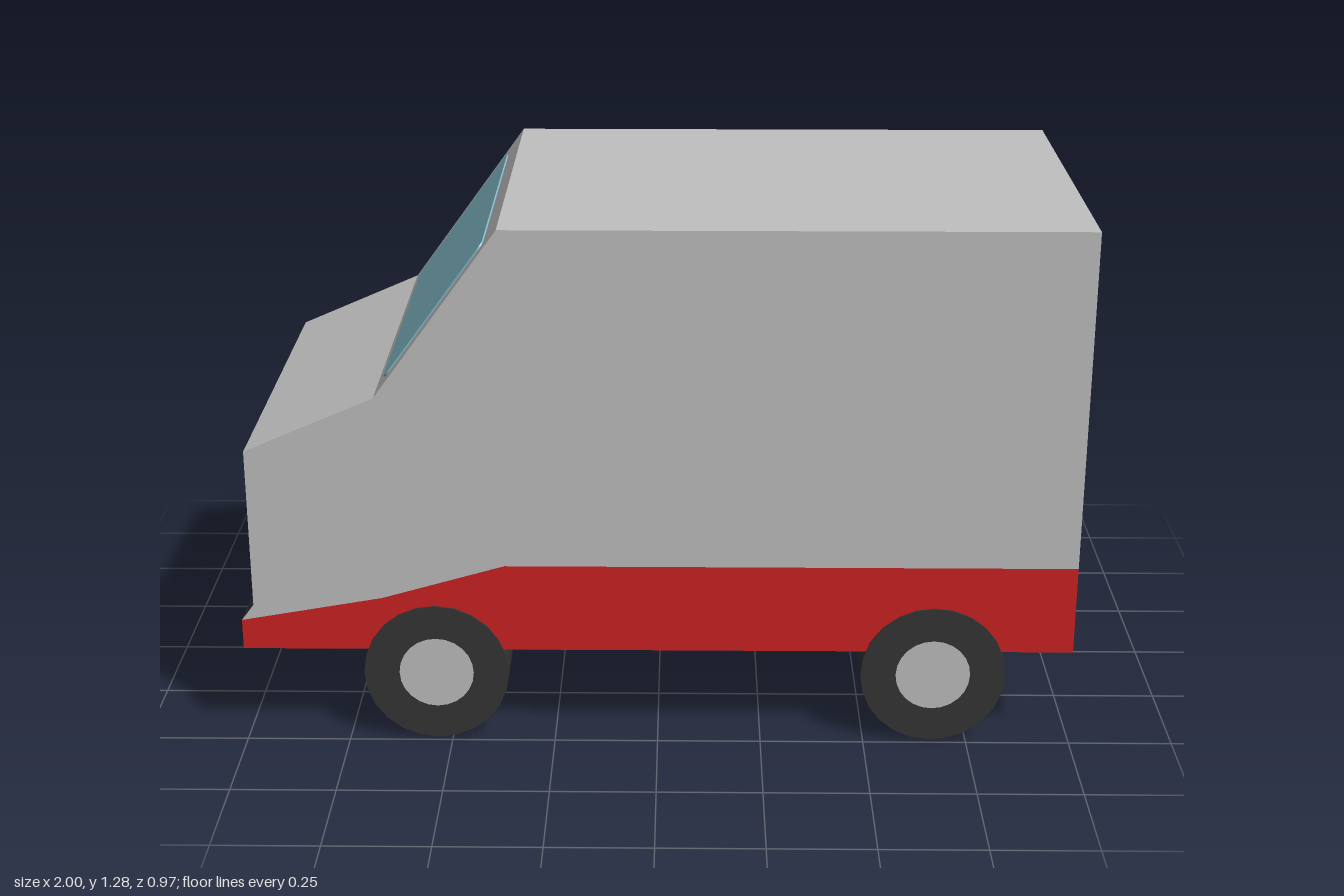
import * as THREE from 'three';

const paint = (name, color) => {
  const m = new THREE.MeshStandardMaterial({ color, side: THREE.DoubleSide });
  m.name = name;
  return m;
};

export function createModel() {
  const grey = paint('body grey', 0xc0c0c0);
  const red = paint('trim red', 0xcf2323);
  const black = paint('rubber black', 0x353535);
  const blue = paint('glass blue', 0x84bccb);
  const yellow = paint('lamp yellow', 0xcdc250);

  const van = new THREE.Group();
  van.name = 'van';
  const W = 0.48; // half width

  const add = (parent, name, geometry, material) => {
    const mesh = new THREE.Mesh(geometry, material);
    mesh.name = name;
    parent.add(mesh);
    return mesh;
  };

  // Sheet spanning the van's width along a side-view path, one flat quad per segment
  const sheet = (path) => {
    const pos = [];
    for (let i = 0; i < path.length - 1; i++) {
      const [p, q] = [path[i], path[i + 1]];
      const a = [...p, W], b = [...q, W], c = [...q, -W], d = [...p, -W];
      pos.push(...a, ...b, ...c, ...a, ...c, ...d);
    }
    const g = new THREE.BufferGeometry();
    g.setAttribute('position', new THREE.Float32BufferAttribute(pos, 3));
    g.computeVertexNormals();
    return g;
  };

  // Side-view outlines
  const shell = [[-0.97, 0.35], [-0.97, 0.745], [-0.66, 0.88], [-0.365, 1.285], [1, 1.285], [1, 0.455]];
  const trimLine = [[1, 0.455], [-0.365, 0.455], [-0.66, 0.37], [-1, 0.31]];
  const sill = [[-1, 0.235], [1, 0.235]];
  const flat = (pts) => new THREE.ShapeGeometry(new THREE.Shape(pts.map(([x, y]) => new THREE.Vector2(x, y))));

  // Open-bottomed body skin
  add(van, 'bodySkin', sheet(shell), grey);
  add(van, 'rearTrim', sheet([[1, 0.455], [1, 0.235]]), red);
  add(van, 'bumper', sheet([[-1, 0.235], [-1, 0.31], [-0.97, 0.35]]), black);

  // Side walls with the red lower band
  for (const s of [1, -1]) {
    const side = new THREE.Group();
    side.name = s > 0 ? 'sideFront' : 'sideBack';
    const parts = [['sidePanel', [...shell, ...trimLine.slice(1)], grey], ['sideTrim', [...trimLine, ...sill], red]];
    for (const [name, pts, mat] of parts) {
      // Mirror the outline in x when the wall is turned to face backwards
      add(side, name, flat(pts.map(([x, y]) => [x * s, y])), mat);
    }
    side.position.z = s * W;
    if (s < 0) side.rotation.y = Math.PI;
    van.add(side);
  }

  // Windscreen plate set through the sloping face
  const w = 0.415, h = 0.204, r = 0.025;
  const pane = new THREE.Shape();
  pane.moveTo(-w + r, -h);
  pane.lineTo(w - r, -h).quadraticCurveTo(w, -h, w, -h + r);
  pane.lineTo(w, h - r).quadraticCurveTo(w, h, w - r, h);
  pane.lineTo(-w + r, h).quadraticCurveTo(-w, h, -w, h - r);
  pane.lineTo(-w, -h + r).quadraticCurveTo(-w, -h, -w + r, -h);
  const glass = new THREE.ExtrudeGeometry(pane, { depth: 0.008, bevelEnabled: false });
  glass.translate(0, 0, -0.004);
  const across = new THREE.Vector3(0, 0, 1);
  const up = new THREE.Vector3(0.295, 0.405, 0).normalize();
  const out = new THREE.Vector3().crossVectors(across, up);
  const windscreen = add(van, 'windscreen', glass, blue);
  windscreen.quaternion.setFromRotationMatrix(new THREE.Matrix4().makeBasis(across, up, out));
  windscreen.position.set(-0.52, 1.072, 0.01);

  // Round headlights on the nose
  for (const z of [-0.29, 0.335]) {
    const lamp = add(van, 'headlight', new THREE.CylinderGeometry(0.113, 0.113, 0.008, 32), yellow);
    lamp.rotation.z = Math.PI / 2;
    lamp.position.set(-0.97, 0.55, z);
  }

  // Wheels: hollow drums, open towards the middle
  const R = 0.175, depth = 0.175, hubR = 0.09, sides = 24;
  for (const x of [-0.535, 0.665]) {
    for (const s of [1, -1]) {
      const wheel = new THREE.Group();
      wheel.name = 'wheel';
      const tread = new THREE.CylinderGeometry(R, R, depth, sides, 1, true);
      tread.rotateX(Math.PI / 2).translate(0, 0, -depth / 2);
      add(wheel, 'tread', tread, black);
      add(wheel, 'tyreWall', new THREE.RingGeometry(hubR, R, sides), black);
      add(wheel, 'hub', new THREE.CircleGeometry(hubR, sides), grey);
      wheel.position.set(x, R, s * 0.485);
      if (s < 0) wheel.rotation.y = Math.PI;
      van.add(wheel);
    }
  }
  return van;
}
